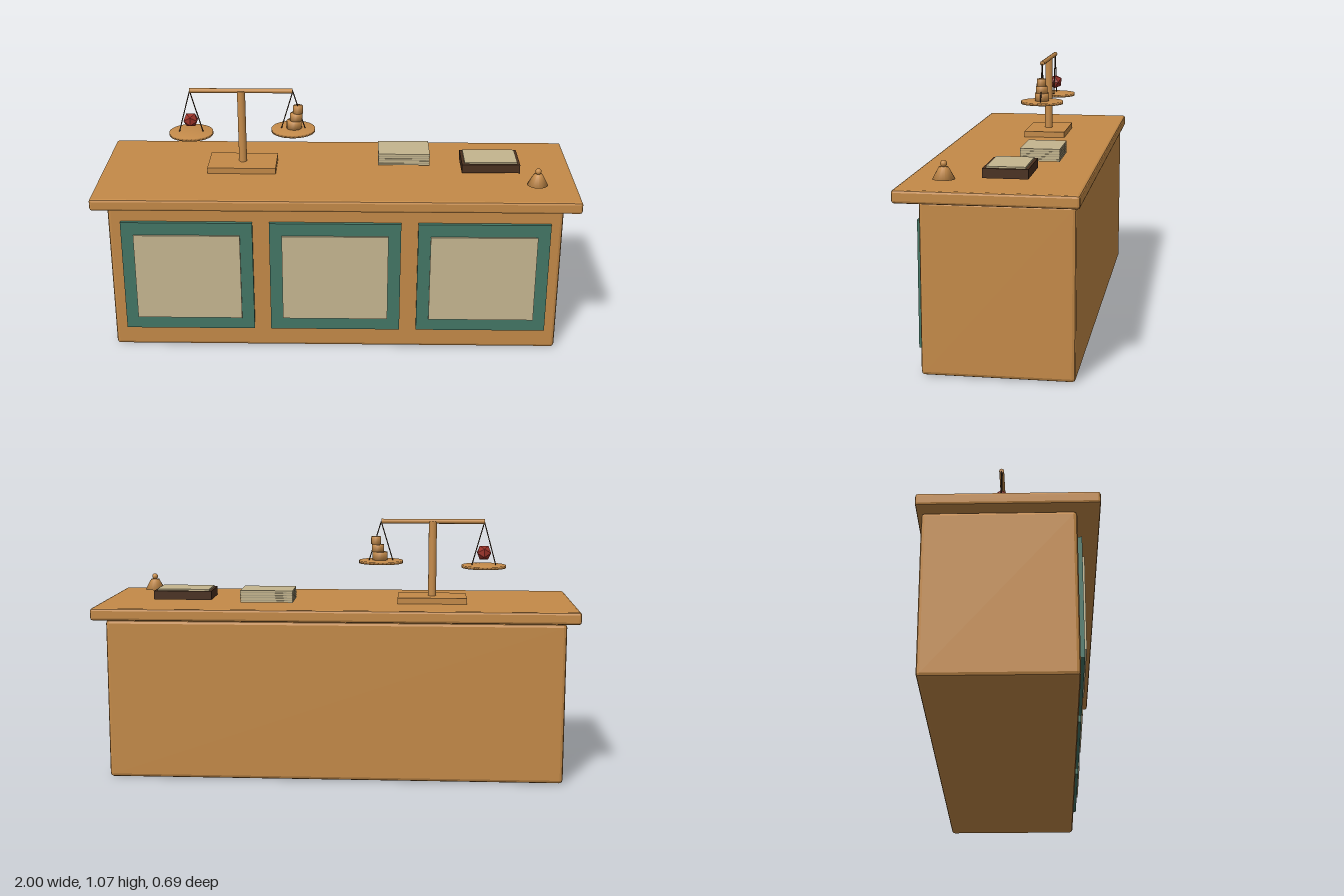
import * as THREE from 'three';
import { mergeVertices } from 'three/addons/utils/BufferGeometryUtils.js';
import { RoundedBoxGeometry } from 'three/addons/geometries/RoundedBoxGeometry.js';

function material(name, color) {
  const m = new THREE.MeshStandardMaterial({ color });
  m.name = name;
  return m;
}

// Box with a single flat chamfer on every edge
function chamferBox(w, h, d, bevel) {
  const g = new RoundedBoxGeometry(w, h, d, 1, bevel);
  g.computeVertexNormals();
  return g;
}

// Cylinder whose caps and wall share smooth normals
function softCylinder(rTop, rBottom, h, sides = 24) {
  let g = new THREE.CylinderGeometry(rTop, rBottom, h, sides);
  g.deleteAttribute('normal');
  g.deleteAttribute('uv');
  g = mergeVertices(g);
  g.computeVertexNormals();
  return g;
}

export function createModel() {
  const wood = material('wood', 0xc48a48);
  const brass = material('brass', 0xc68c4b);
  const green = material('green paint', 0x437665);
  const cream = material('cream panel', 0xc6b791);
  const paper = material('paper', 0xc4b58e);
  const paperEdge = material('paper edge', 0x9c9276);
  const darkWood = material('dark wood', 0x4a301f);
  const string = material('string', 0x3e2a1a);
  const red = material('red', 0x9a3128);

  const model = new THREE.Group();
  model.name = 'shopCounter';
  const add = (parent, name, geometry, mat, x, y, z) => {
    const mesh = new THREE.Mesh(geometry, mat);
    mesh.name = name;
    mesh.position.set(x, y, z);
    parent.add(mesh);
    return mesh;
  };
  const group = (name) => {
    const g = new THREE.Group();
    g.name = name;
    model.add(g);
    return g;
  };

  // Counter
  add(model, 'counterBody', chamferBox(1.885, 0.665, 0.58, 0.014), wood, -0.003, 0.3325, -0.034);
  add(model, 'counterTop', chamferBox(2, 0.05, 0.685, 0.01), wood, 0, 0.69, 0);

  // Three framed front panels
  for (const x of [-0.619, -0.002, 0.616]) {
    const panel = group('frontPanel');
    add(panel, 'panelFrame', new THREE.BoxGeometry(0.547, 0.493, 0.03), green, x, 0.337, 0.258);
    add(panel, 'panelInset', new THREE.BoxGeometry(0.443, 0.383, 0.02), cream, x, 0.337, 0.272);
  }

  // Balance scale
  const scale = group('balanceScale');
  const z = -0.037;
  add(scale, 'scaleBase', new THREE.BoxGeometry(0.29, 0.026, 0.18), wood, -0.403, 0.727, z);
  add(scale, 'scalePost', new THREE.CylinderGeometry(0.017, 0.017, 0.32, 16), brass, -0.403, 0.895, z);
  const beam = add(scale, 'scaleBeam', new THREE.CylinderGeometry(0.01, 0.01, 0.435, 12), brass, -0.403, 1.055, z);
  beam.rotation.z = Math.PI / 2;

  for (const [x, y] of [[-0.62, 0.866], [-0.185, 0.884]]) {
    add(scale, 'scalePan', softCylinder(0.093, 0.093, 0.012, 32), brass, x, y, z);
    for (const side of [-1, 1]) {
      const line = new THREE.LineCurve3(
        new THREE.Vector3(x, 1.053, z),
        new THREE.Vector3(x + side * 0.052, y, z)
      );
      add(scale, 'panString', new THREE.TubeGeometry(line, 1, 0.0025, 6), string, 0, 0, 0);
    }
  }
  add(scale, 'redBall', new THREE.IcosahedronGeometry(0.034, 0), red, -0.62, 0.924, z);

  // Stacked weights
  for (const [x, y, r, h] of [[-0.181, 0.908, 0.032, 0.034], [-0.172, 0.941, 0.026, 0.031], [-0.164, 0.974, 0.021, 0.032]]) {
    add(scale, 'weight', softCylinder(r, r, h, 16), brass, x, y, z);
  }

  // Stack of paper with darker gaps between the sheets
  const stack = group('paperStack');
  for (let i = 0; i < 5; i++) {
    const y = 0.729 + i * 0.0105;
    add(stack, 'paperSheet', new THREE.BoxGeometry(0.22, 0.008, 0.16), paper, 0.288, y, -0.112);
    if (i < 4) add(stack, 'paperGap', new THREE.BoxGeometry(0.216, 0.003, 0.156), paperEdge, 0.288, y + 0.00525, -0.112);
  }

  // Ledger with a pale page on top
  const ledger = group('ledger');
  add(ledger, 'ledgerCover', new THREE.BoxGeometry(0.245, 0.037, 0.174), darkWood, 0.653, 0.743, 0.036 - 0.073);
  add(ledger, 'ledgerPage', new THREE.BoxGeometry(0.222, 0.008, 0.15), paper, 0.653, 0.764, -0.037);

  // Desk bell
  const bell = group('deskBell');
  add(bell, 'bellDome', softCylinder(0.018, 0.043, 0.046, 20), brass, 0.833, 0.752, 0.183);
  add(bell, 'bellKnob', new THREE.SphereGeometry(0.013, 12, 8), brass, 0.833, 0.787, 0.183);

  return model;
}
